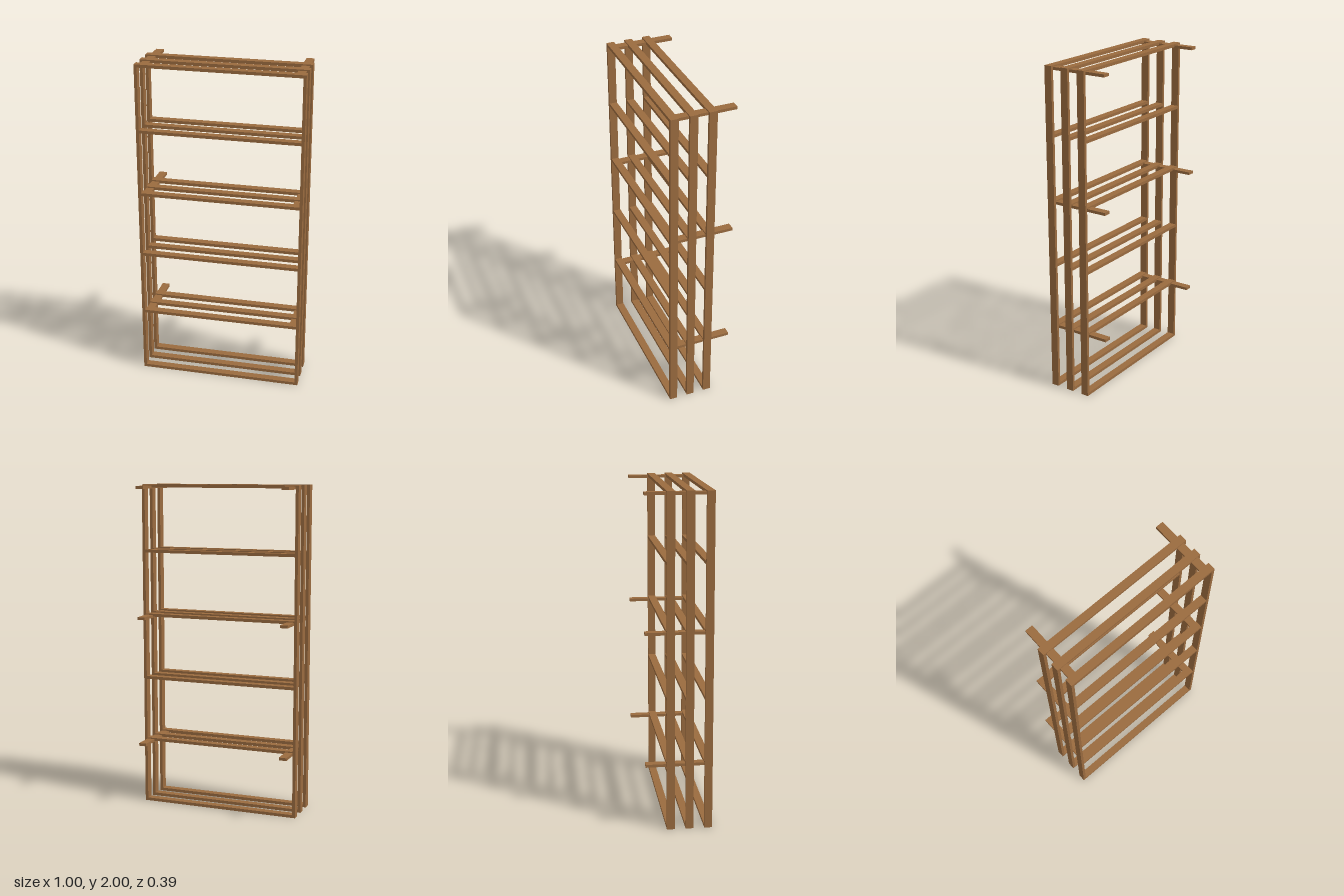
import * as THREE from 'three';

export function createModel() {
  const model = new THREE.Group();
  model.name = 'slattedRack';
  const wood = new THREE.MeshStandardMaterial({ color: 0x9a6b3f });
  wood.name = 'brown wood';

  const WIDTH = 1, HEIGHT = 2, THICK = 0.018, SLAT = 0.047;
  const SHELVES = 6, STEP = (HEIGHT - THICK) / (SHELVES - 1);

  function bar(parent, name, w, h, d, x, y, z) {
    const mesh = new THREE.Mesh(new THREE.BoxGeometry(w, h, d), wood);
    mesh.name = name;
    mesh.position.set(x, y, z);
    parent.add(mesh);
  }

  // Three ladder frames: two posts joined by six shelf slats
  [['front', 0.173], ['middle', 0.061], ['rear', -0.051]].forEach(([label, z]) => {
    const frame = new THREE.Group();
    frame.name = label + 'Frame';
    for (const [side, s] of [['left', 1], ['right', -1]]) {
      bar(frame, side + 'Post', THICK, HEIGHT, SLAT, s * (WIDTH - THICK) / 2, HEIGHT / 2, z);
    }
    for (let i = 0; i < SHELVES; i++) {
      bar(frame, 'shelfSlat' + (i + 1), WIDTH - 2 * THICK, THICK, SLAT, 0, THICK / 2 + i * STEP, z);
    }
    model.add(frame);
  });

  // Cross bars let into the underside of every second shelf, reaching back to the wall
  const back = -0.197, front = 0.172;
  for (const i of [1, 3, 5]) {
    for (const [side, s] of [['left', 1], ['right', -1]]) {
      bar(model, side + 'WallBar' + i, SLAT, 0.017, front - back,
        s * 0.458, THICK / 2 + i * STEP - 0.007, (front + back) / 2);
    }
  }
  return model;
}
